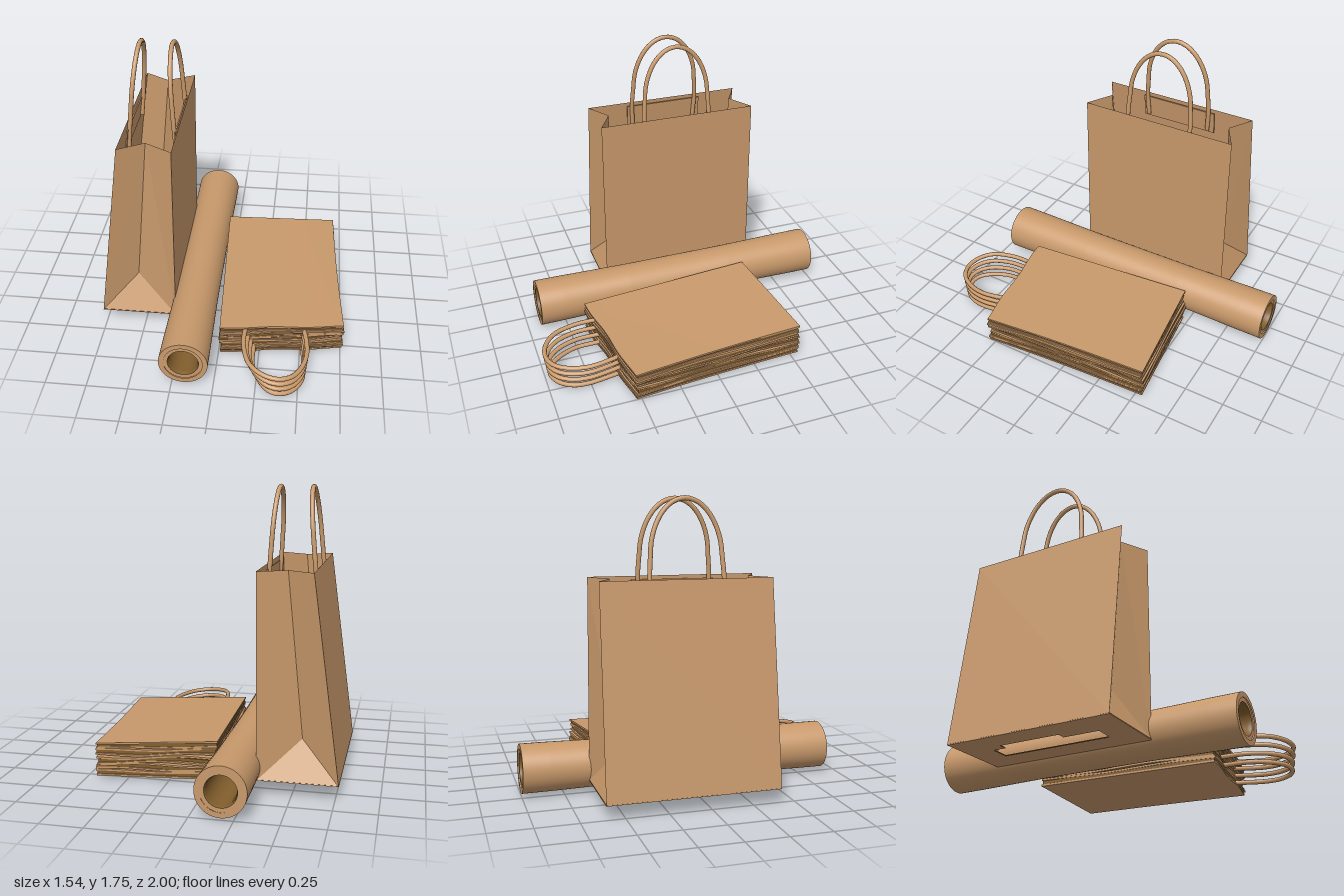
import * as THREE from 'three';

const paper = new THREE.MeshStandardMaterial({ color: 0xc8996b, side: THREE.DoubleSide });
paper.name = 'kraft paper';
const inner = new THREE.MeshStandardMaterial({ color: 0x825e2d, side: THREE.DoubleSide });
inner.name = 'dark inner paper';

function add(parent, name, geometry, material = paper) {
  const mesh = new THREE.Mesh(geometry, material);
  mesh.name = name;
  parent.add(mesh);
  return mesh;
}

function cord(parent, name, points, radius = 0.014) {
  const curve = new THREE.CatmullRomCurve3(points.map((p) => new THREE.Vector3(...p)));
  return add(parent, name, new THREE.TubeGeometry(curve, 56, radius, 10));
}

// Flat-faced sheet from polygons, each fanned into triangles
function facets(polygons) {
  const pos = [];
  for (const p of polygons) {
    for (let i = 1; i < p.length - 1; i++) pos.push(...p[0], ...p[i], ...p[i + 1]);
  }
  const g = new THREE.BufferGeometry();
  g.setAttribute('position', new THREE.Float32BufferAttribute(pos, 3));
  g.computeVertexNormals();
  return g;
}

function buildBag() {
  const bag = new THREE.Group();
  bag.name = 'standingBag';
  const y0 = 0.088, y1 = 1.29, front = 0.415, back = -0.612;

  // Broad panels
  const panel = (xb, xt) => facets([[
    [xb, y0, front], [xb, y0, back], [xt, y1, back + 0.008], [xt, y1, front - 0.008],
  ]]);
  add(bag, 'slopedPanel', panel(-0.77, -0.61));
  add(bag, 'uprightPanel', panel(-0.3, -0.29));

  // Folded gussets at both ends, creased inward from the base triangle to the rim
  for (const [z, s] of [[front, 1], [back, -1]]) {
    const a = [-0.77, y0, z], b = [-0.3, y0, z];
    const c = [-0.61, y1, z - 0.008 * s], d = [-0.29, y1, z - 0.008 * s];
    const apex = [-0.548, 0.32, z - 0.112 * s], fold = [-0.455, y1, z - 0.1 * s];
    const faces = [[a, b, apex], [a, apex, fold, c], [b, d, fold, apex]];
    add(bag, 'gusset', facets(s > 0 ? faces : faces.map((f) => [...f].reverse())));
  }

  // Floor with its stepped opening
  const outline = (pts) => pts.map(([x, z]) => new THREE.Vector2(x, -z));
  const shape = new THREE.Shape(outline([[-0.77, front], [-0.3, front], [-0.3, back], [-0.77, back]]));
  shape.holes.push(new THREE.Path(outline([
    [-0.455, 0.24], [-0.455, -0.44], [-0.57, -0.44], [-0.57, -0.36],
    [-0.62, -0.36], [-0.62, 0.02], [-0.57, 0.02], [-0.57, 0.24],
  ])));
  const floor = new THREE.ShapeGeometry(shape).rotateX(-Math.PI / 2);
  add(bag, 'floor', floor).position.y = y0;
  add(bag, 'floorLining', floor, inner).position.y = y0 + 0.005;

  // Handles with their glued patches
  for (const [x, tip] of [[-0.583, -0.54], [-0.318, -0.345]]) {
    const arch = [[0.115, 1.14], [0.12, 1.29]];
    for (let i = 0; i <= 10; i++) {
      const t = (Math.PI * i) / 10;
      arch.push([-0.098 + 0.21 * Math.cos(t), 1.4 + 0.335 * Math.sin(t)]);
    }
    arch.push([-0.314, 1.29], [-0.307, 1.14]);
    cord(bag, 'bagHandle', arch.map(([z, y]) => [x + ((tip - x) * (y - 1.29)) / 0.45, y, z]));
    const patch = add(bag, 'handlePatch', new THREE.BoxGeometry(0.008, 0.15, 0.5));
    patch.position.set(x + (x < -0.45 ? -0.022 : 0.01), 1.195, -0.1);
    patch.rotation.z = x < -0.45 ? -0.133 : 0;
  }
  return bag;
}

function buildRoll() {
  const roll = new THREE.Group();
  roll.name = 'paperRoll';
  roll.position.set(-0.178, 0.16, -0.04);
  const half = 0.96;
  const lathe = (pts) => new THREE.LatheGeometry(pts.map((p) => new THREE.Vector2(...p)), 48).rotateX(Math.PI / 2);
  add(roll, 'rollOuter', lathe([
    [0.147, -half], [0.146, -0.8], [0.139, -0.35], [0.139, 0.35], [0.146, 0.8], [0.147, half],
  ]));
  add(roll, 'rollBore', lathe([[0.094, half - 0.006], [0.086, half - 0.03], [0.086, 0.03 - half], [0.094, 0.006 - half]]), inner);
  // End faces, with a core ring set slightly inside the wrap
  for (const s of [1, -1]) {
    const wrap = add(roll, 'wrapEnd', new THREE.RingGeometry(0.116, 0.147, 48));
    const core = add(roll, 'coreEnd', new THREE.RingGeometry(0.093, 0.118, 48));
    wrap.position.z = s * half;
    core.position.z = s * (half - 0.006);
    if (s < 0) wrap.rotation.y = core.rotation.y = Math.PI;
  }
  return roll;
}

const mix = THREE.MathUtils.lerp;
const bilinear = (a, b, c, d, u, v) => mix(mix(a, b, u), mix(c, d, u), v);

// One gently creased sheet of the pile; level runs 0 at the bottom to 1 at the top
function pileSheet(level, thickness, seed, inset) {
  const g = new THREE.BoxGeometry(1, thickness, 1, 18, 1, 18);
  const p = g.attributes.position;
  const wave = Math.sin(Math.PI * level);
  const shiftX = 0.01 * Math.sin(seed * 2.3) * wave, shiftZ = 0.01 * Math.cos(seed * 1.7) * wave;
  for (let i = 0; i < p.count; i++) {
    const u = mix(0.5, p.getX(i) + 0.5, 1 - inset), v = mix(0.5, p.getZ(i) + 0.5, 1 - inset);
    const edge = Math.max(Math.abs(u - 0.5), Math.abs(v - 0.5)) * 2;
    const top = bilinear(0.25, 0.215, 0.21, 0.192, u, v);
    const ripple = 0.009 * wave * edge ** 4 * Math.sin(7 * u + 9 * v + seed * 2.1);
    p.setXYZ(i,
      bilinear(-0.04, 0.69, 0.01, 0.762, u, v) + shiftX - 0.008 * u * Math.sin(Math.PI * v),
      mix(0.021, top, level) + ripple + p.getY(i),
      bilinear(-0.47, -0.55, 0.65, 0.54, u, v) + shiftZ + 0.005 * v ** 6 * Math.sin(u * 11));
  }
  g.computeVertexNormals();
  return g;
}

function buildPile() {
  const pile = new THREE.Group();
  pile.name = 'foldedBagPile';
  // Each folded bag is two sheets around a narrower folded core
  const bags = 5;
  for (let i = 0; i < bags; i++) {
    const low = i / (bags - 0.35), high = (i + 0.65) / (bags - 0.35);
    add(pile, 'foldedLowerSheet', pileSheet(low, 0.011, i, 0.004));
    add(pile, 'foldedCore', pileSheet((low + high) / 2, 0.02, i + 0.3, 0.014), inner);
    add(pile, 'foldedUpperSheet', pileSheet(high, 0.011, i + 0.6, 0));
  }
  // Cord loops, each leaning up towards its left-hand leg
  for (let i = 0; i < 4; i++) {
    const y = 0.016 + i * 0.045, dx = 0.018 * (1.5 - i), end = 0.95 + 0.006 * i;
    cord(pile, 'foldedHandle', [
      [0.2 + dx * 0.6, y + 0.04, 0.52], [0.19 + dx, y + 0.038, 0.64], [0.195 + dx, y + 0.036, 0.77],
      [0.24 + dx, y + 0.03, end - 0.065], [0.31 + dx / 2, y + 0.02, end + 0.003],
      [0.385, y + 0.01, end + 0.018], [0.46, y + 0.003, end - 0.015], [0.515, y, end - 0.095],
      [0.537 - dx / 4, y + 0.002, 0.76], [0.53 - dx / 4, y + 0.01, 0.64], [0.51, y + 0.018, 0.52],
    ]);
  }
  return pile;
}

export function createModel() {
  const model = new THREE.Group();
  model.name = 'paperBagsAndRoll';
  model.add(buildBag(), buildRoll(), buildPile());
  return model;
}
